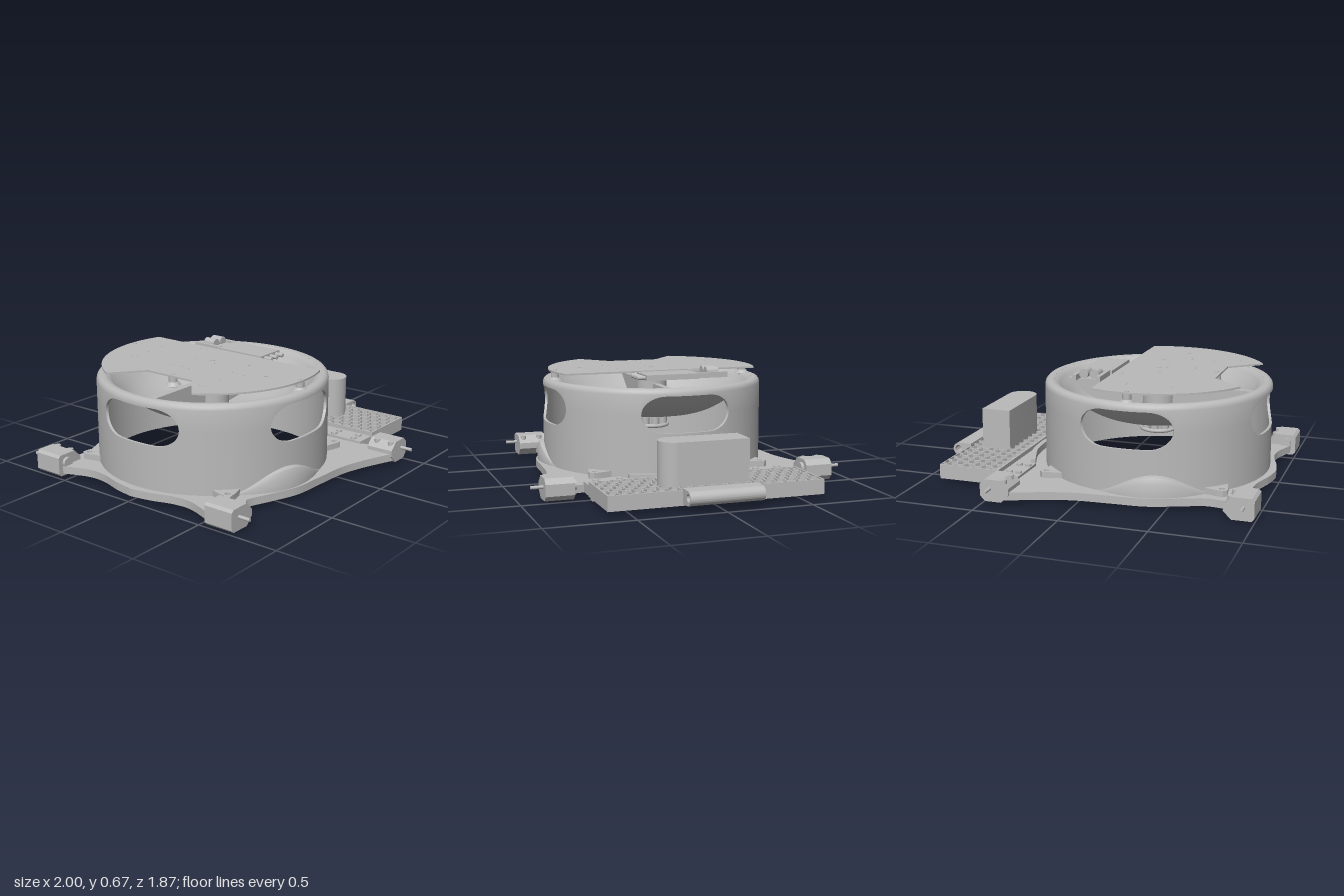
import * as THREE from 'three';
import { toCreasedNormals } from 'three/addons/utils/BufferGeometryUtils.js';

const CX = -0.26; // drum axis

export function createModel() {
  const model = new THREE.Group();
  const grey = new THREE.MeshStandardMaterial({ color: 0xbababa, side: THREE.DoubleSide });
  grey.name = 'plain grey';

  const add = (name, geo, x = 0, y = 0, z = 0) => {
    const m = new THREE.Mesh(geo, grey);
    m.name = name;
    m.position.set(x, y, z);
    model.add(m);
    return m;
  };
  const box = (name, x0, x1, y0, y1, z0, z1) =>
    add(name, new THREE.BoxGeometry(x1 - x0, y1 - y0, z1 - z0), (x0 + x1) / 2, (y0 + y1) / 2, (z0 + z1) / 2);
  const rod = (name, r, len, x, y, z, axis = 'y', r2 = r) => {
    const g = new THREE.CylinderGeometry(r2, r, len, 24);
    if (axis === 'z') g.rotateX(Math.PI / 2);
    return add(name, g, x, y, z);
  };
  // Plan outline [x, z] raised from y0 to y1
  const shapeOf = pts => new THREE.Shape(pts.map(([x, z]) => new THREE.Vector2(x, -z)));
  const hole = (shape, x, z, r) => shape.holes.push(new THREE.Path().absarc(x, -z, r, 0, Math.PI * 2, true));
  const slab = (name, shape, y0, y1, segs = 48) => {
    const g = new THREE.ExtrudeGeometry(shape, { depth: y1 - y0, bevelEnabled: false, curveSegments: segs });
    return add(name, toCreasedNormals(g.rotateX(-Math.PI / 2), 0.5), 0, y0, 0);
  };
  const smooth = (pts, n = 10) => new THREE.SplineCurve(pts.map(p => new THREE.Vector2(...p)))
    .getPoints(n * (pts.length - 1)).map(v => [v.x, v.y]);
  const mirrorZ = pts => pts.map(([x, z]) => [x, -z]).reverse();

  // Closed [r, y] section swept about the drum axis, free to change with angle
  const sweep = (name, angles, section) => {
    const pos = [], index = [];
    let n = 0;
    angles.forEach(a => {
      const s = section(a);
      n = s.length;
      s.forEach(([r, y]) => pos.push(r * Math.cos(a), y, r * Math.sin(a)));
    });
    for (let i = 0; i < angles.length - 1; i++) {
      for (let j = 0; j < n; j++) {
        const k = (j + 1) % n, A = i * n + j, B = i * n + k, C = B + n, D = A + n;
        index.push(A, B, C, A, C, D);
      }
    }
    const g = new THREE.BufferGeometry();
    g.setAttribute('position', new THREE.Float32BufferAttribute(pos, 3));
    g.setIndex(index);
    return add(name, toCreasedNormals(g, 0.6), CX, 0, 0);
  };

  // Drum wall in two bands that part around four rounded windows
  const R = 0.673, HALF = 0.41, MID = 0.433, angles = [];
  for (let q = 0; q < 4; q++) {
    const c = q * Math.PI / 2;
    for (let i = 0; i <= 32; i++) angles.push(c - HALF * Math.cos(Math.PI * i / 32));
    for (let i = 1; i < 12; i++) angles.push(c + HALF + (Math.PI / 2 - 2 * HALF) * i / 12);
  }
  angles.push(2 * Math.PI - HALF);
  const opening = a => {
    const d = Math.abs(a - Math.round(a / (Math.PI / 2)) * Math.PI / 2);
    const t = Math.max(0, (d * R - 0.13) / (HALF * R - 0.13));
    return 0.107 * Math.sqrt(Math.max(0, 1 - t * t));
  };
  sweep('drumLowerWall', angles, a => {
    const y = MID - opening(a);
    return [[0.657, 0.05], [R, 0.05], [R, y], [0.657, y]];
  });
  sweep('drumUpperWall', angles, a => {
    const y = MID + opening(a);
    return [[0.657, y], [R, y], [R, 0.55], [0.669, 0.567], [0.659, 0.579], [0.643, 0.585],
      [0.62, 0.58], [0.62, 0.57], [0.657, 0.55]];
  });

  // Sunken dish rolling in from the rim, with its hub, cross ribs and motor
  const dish = smooth([[0.09, 0.345], [0.3, 0.365], [0.45, 0.43], [0.56, 0.53], [0.595, 0.565], [0.621, 0.58]], 6);
  add('dish', new THREE.LatheGeometry(dish.map(p => new THREE.Vector2(...p)), 72), CX, 0, 0);
  rod('hub', 0.095, 0.24, CX, 0.465, 0);
  for (const s of [-1, 1]) {
    const rib = new THREE.Shape([[0.09, 0.36], [0.3, 0.385], [0.45, 0.45], [0.565, 0.54], [0.09, 0.54]]
      .map(([r, y]) => new THREE.Vector2(s * r, y)));
    add('dishRib', new THREE.ExtrudeGeometry(rib, { depth: 0.04, bevelEnabled: false }), CX, 0, -0.02);
  }
  rod('motorTop', 0.115, 0.015, CX, 0.338, 0);
  rod('motorCore', 0.045, 0.09, CX, 0.3, 0);
  for (let i = 0; i < 8; i++) {
    const a = i * Math.PI / 4;
    rod('motorCoil', 0.024, 0.07, CX + 0.08 * Math.cos(a), 0.3, 0.08 * Math.sin(a));
  }
  add('motorRing', new THREE.TorusGeometry(0.1, 0.012, 8, 32).rotateX(Math.PI / 2), CX, 0.275, 0);

  // Circuit board with a straight side and a notch, on flared posts
  const cut = Math.acos(0.21 / 0.64), notch = Math.atan2(0.31, 0.56);
  const arc = [];
  for (let i = 0; i <= 40; i++) {
    const a = cut + (Math.PI - notch - cut) * i / 40;
    arc.push([CX + 0.64 * Math.cos(a), 0.64 * Math.sin(a)]);
  }
  const half = [...arc, [-0.64, 0.16]];
  const board = shapeOf([...half, ...mirrorZ(half)]);
  for (const [x, z] of [[-0.22, 0.235], [-0.33, 0.44]]) hole(board, x, z, 0.011);
  // Rows of pin holes
  for (const [x, z0, n] of [[-0.47, -0.13, 10], [-0.3, -0.13, 10], [-0.47, -0.47, 5], [-0.35, -0.47, 5],
    [-0.21, -0.47, 5], [-0.68, 0.25, 5], [-0.53, 0.25, 5], [-0.39, 0.25, 5], [-0.1, -0.25, 4]]) {
    for (let i = 0; i < n; i++) hole(board, x, z0 + i * 0.026, 0.004);
  }
  slab('circuitBoard', board, 0.627, 0.637, 6);
  for (const [x, z] of [[CX, 0.615], [CX, -0.615], [-0.61, 0], [CX, 0]]) {
    rod('boardPost', 0.025, 0.067, x, 0.5965, z);
    rod('postFoot', 0.045, 0.02, x, 0.584, z, 'y', 0.027);
    rod('postScrew', 0.012, 0.004, x, 0.638, z);
  }

  // Speed controller with rails, capacitors and pins
  box('controllerBody', -0.02, 0.165, 0.602, 0.635, -0.16, 0.17);
  for (const x of [0.003, 0.15]) box('controllerRail', x - 0.012, x + 0.012, 0.605, 0.638, -0.34, -0.15);
  box('capacitorShelf', 0, 0.15, 0.612, 0.624, -0.23, -0.16);
  for (const x of [0.043, 0.108]) rod('capacitor', 0.028, 0.075, x, 0.638, -0.255, 'z');
  for (const x of [0.022, 0.075, 0.13]) rod('controllerPin', 0.012, 0.06, x, 0.617, 0.19, 'z');

  // Base plate
  const side = [
    ...smooth([[-0.98, 0], [-0.96, 0.12], [-0.92, 0.26], [-0.918, 0.38], [-0.97, 0.53]]),
    [-0.97, 0.6], [-0.84, 0.61],
    ...smooth([[-0.8, 0.605], [-0.7, 0.6], [-0.57, 0.65], [-0.4, 0.71], [-0.2, 0.725], [0, 0.74], [0.17, 0.785], [0.36, 0.86]]),
    [0.5, 0.86], [0.5, 0.71], [0.42, 0.69],
    ...smooth([[0.4, 0.6], [0.42, 0.36], [0.48, 0.17], [0.5, 0]]),
  ];
  const plate = shapeOf([...side, ...mirrorZ(side).slice(1, -1)]);
  hole(plate, CX, 0, 0.657);
  slab('basePlate', plate, 0.025, 0.07);

  // Arched fairings and screw tabs against the drum
  for (const s of [-1, 1]) {
    const span = [];
    for (let i = 0; i <= 40; i++) span.push((76 + 57 * i / 40) * Math.PI / 180);
    const fairing = sweep('drumFairing', span, a => {
      const t = (a * 180 / Math.PI - 104.5) / 28.5;
      const w = Math.max(0, Math.cos(t * Math.PI / 2)) ** 1.5, h = 0.001 + 0.12 * w, r = 0.674 + 0.041 * w;
      return [[0.66, 0.065], [r, 0.065], [r, 0.07 + h * 0.65], [0.674 + 0.026 * w, 0.07 + h * 0.92], [0.66, 0.07 + h]];
    });
    fairing.scale.z = s;
    for (const sx of [-1, 1]) {
      const p = (r, t) => [CX + sx * (r + t) * Math.SQRT1_2, s * (r - t) * Math.SQRT1_2];
      const tab = shapeOf([p(0.66, -0.08), p(0.74, -0.035), p(0.765, -0.015), p(0.765, 0.015), p(0.74, 0.035), p(0.66, 0.08)]);
      hole(tab, ...p(0.73, 0), 0.016);
      slab('screwTab', tab, 0.07, 0.105, 16);
    }
  }

  // Corner blocks, chamfered by cl and cr on their two sides, with screws and axle pins
  const corner = (x0, x1, z0, z1, cl, cr, screwX, pinX, s) => {
    const y0 = 0.01, y1 = 0.137;
    const prof = new THREE.Shape([[x0 + cl, y0], [x1 - cr, y0], [x1, y0 + cr], [x1, y1 - cr], [x1 - cr, y1],
      [x0 + cl, y1], [x0, y1 - cl], [x0, y0 + cl]].map(p => new THREE.Vector2(...p)));
    const g = new THREE.ExtrudeGeometry(prof, { depth: z1 - z0, bevelEnabled: false });
    add('cornerBlock', g, 0, 0, s > 0 ? z0 : -z1);
    rod('axlePin', 0.01, 0.1, pinX, 0.085, s * (z1 + 0.02), 'z');
    rod('axleCollar', 0.032, 0.025, pinX, 0.085, s * (z0 - 0.005), 'z');
    for (const z of [z0 + 0.045, z1 - 0.03]) rod('cornerScrew', 0.018, 0.03, screwX, 0.121, s * z);
  };
  for (const s of [-1, 1]) {
    corner(-1, -0.83, 0.54, 0.72, 0.015, 0.045, -0.865, -0.94, s);
    corner(0.345, 0.515, 0.7, 0.865, 0.045, 0.03, 0.383, 0.455, s);
  }

  // Bracket joining the plate to the tray
  const inner = smooth([[0.39, 0.36], [0.42, 0.28], [0.46, 0.15], [0.472, 0]]);
  const edge = [[0.52, 0.62], [0.39, 0.62], ...inner];
  slab('trayBracket', shapeOf([...edge, ...mirrorZ(edge).slice(1)]), 0.025, 0.085);
  const fullInner = [...inner, ...mirrorZ(inner).slice(1)];
  const outer = fullInner.map(([x, z]) => [x + 0.03, z]).reverse();
  slab('bracketBand', shapeOf([...fullInner, ...outer]), 0.07, 0.11);
  for (const x of [0.415, 0.47]) for (const z of [-0.555, -0.415, 0.415, 0.555]) rod('bracketScrew', 0.019, 0.015, x, 0.09, z);
  for (let i = 0; i < 18; i++) box('bracketTooth', 0.49, 0.53, 0, 0.026, i * 0.069 - 0.61, i * 0.069 - 0.565);

  // Honeycomb tray, its outer cells trimmed by the frame
  const tray = shapeOf([[0.515, -0.625], [0.885, -0.625], [0.885, 0.625], [0.515, 0.625]]);
  const clamp = THREE.MathUtils.clamp;
  for (let i = 0; i < 7; i++) {
    for (let j = 0; j < 19; j++) {
      const x = 0.548 + i * 0.0555, z = -0.622 + j * 0.0691 + (i % 2 ? 0.0346 : 0);
      if (Math.abs(z) > 0.63) continue;
      const corners = [];
      for (let k = 0; k < 6; k++) {
        corners.push(new THREE.Vector2(clamp(x + 0.0345 * Math.cos(k * Math.PI / 3), 0.522, 0.878),
          clamp(-z - 0.0345 * Math.sin(k * Math.PI / 3), -0.616, 0.616)));
      }
      tray.holes.push(new THREE.Path(corners.filter((c, k) => c.distanceTo(corners[(k + 1) % 6]) > 0.001)));
    }
  }
  slab('honeycombTray', tray, 0.025, 0.11);

  // Battery, rounded at its front end
  const pack = new THREE.Shape();
  pack.moveTo(0.62, 0.21).lineTo(0.62, -0.2);
  pack.absarc(0.71, -0.2, 0.09, Math.PI, Math.PI * 2, false);
  pack.lineTo(0.8, 0.21);
  slab('battery', pack, 0.1, 0.35, 24);

  // Hinge barrel on the outer edge of the tray
  const barrel = new THREE.Shape().moveTo(0.88, 0.03).lineTo(0.96, 0.04);
  barrel.absarc(0.96, 0.08, 0.04, -Math.PI / 2, Math.PI / 2, false);
  barrel.lineTo(0.88, 0.12);
  barrel.holes.push(new THREE.Path().absarc(0.965, 0.083, 0.022, 0, Math.PI * 2, true));
  const barrelGeo = new THREE.ExtrudeGeometry(barrel, { depth: 0.43, bevelEnabled: false, curveSegments: 20 });
  add('hingeBarrel', toCreasedNormals(barrelGeo, 0.5), 0, 0, -0.22);

  return model;
}
